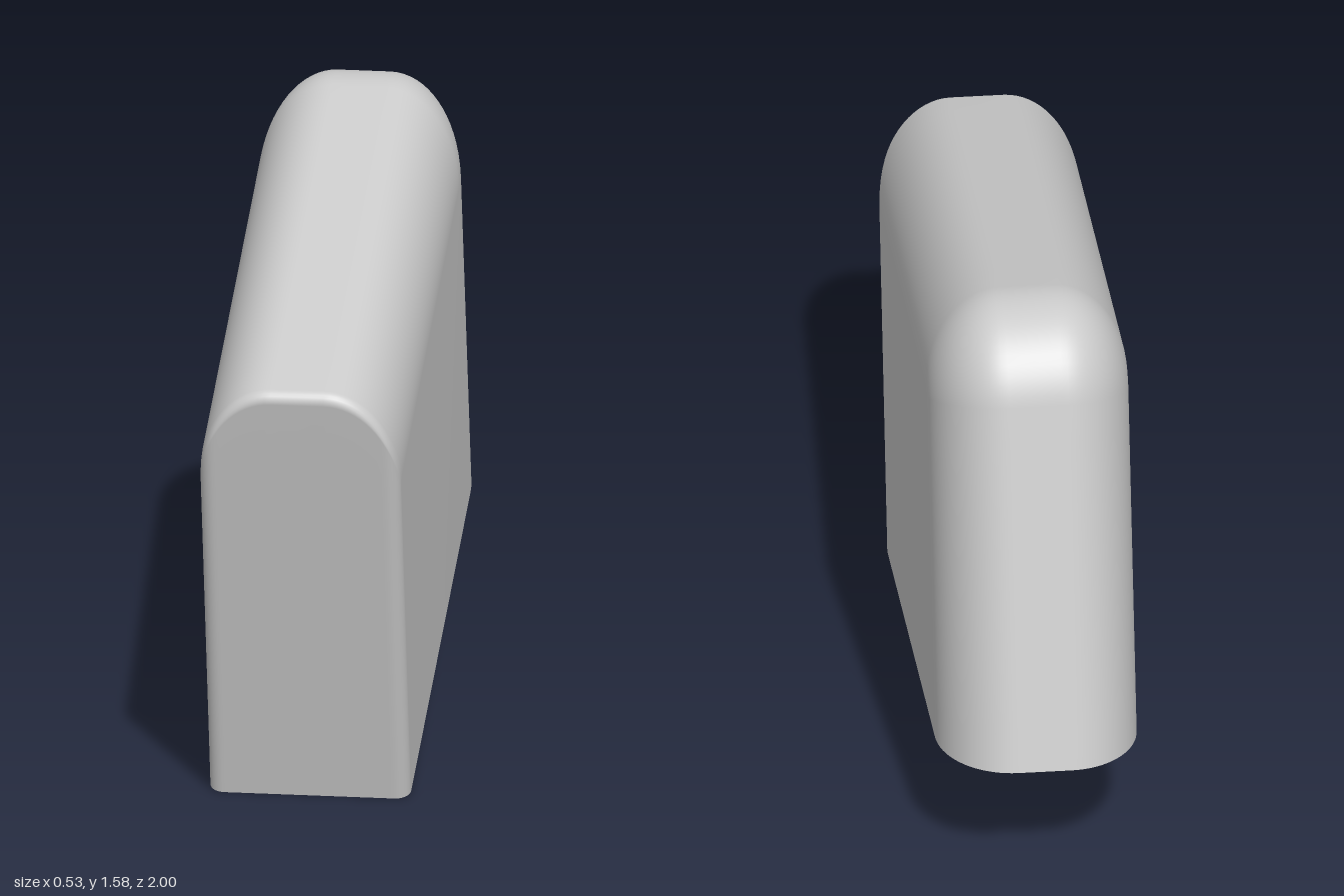
import * as THREE from 'three';

const TILT = 0.2412, HEIGHT = 1.258, FLAT = 0.07, CURVE = 0.196, ROUND = 0.28;

// Side outline at half-width x: up the front, along the top, down the back.
// u runs from front to back, v from the open rim to the top.
function outline(x, inset) {
  const pts = [];
  const line = (u0, v0, u1, v1, n) => {
    for (let i = 0; i < n; i++) pts.push([u0 + (u1 - u0) * i / n, v0 + (v1 - v0) * i / n]);
  };
  const arc = (u, v, r, from, to, n) => {
    for (let i = 0; i < n; i++) {
      const a = from + (to - from) * i / n;
      pts.push([u + r * Math.cos(a), v + r * Math.sin(a)]);
    }
  };
  const edge = Math.min(1, Math.max(0, (x - 0.226) / 0.04));
  const front = 0.04 * (1 - Math.sqrt(1 - edge * edge));
  const top = HEIGHT - inset, back = 1.74 - inset, rim = 1.754 - inset;
  const r = 0.03, R = Math.max(0.05, 0.25 - 0.8 * inset);
  line(front, 0, front, top - r, 10);
  arc(front + r, top - r, r, Math.PI, Math.PI / 2, 6);
  line(front + r, top, back - R, top, 12);
  arc(back - R, top - R, R, Math.PI / 2, 0, 14);
  line(back, top - R, rim, 0, 10);
  pts.push([rim, -0.01 * Math.max(0, (rim - 1.5) / 0.25)]);
  return pts;
}

function shellGeometry() {
  // Half-widths and how far the top and back draw in at each
  const half = [];
  for (let i = 0; i <= 18; i++) {
    const a = i / 18 * Math.PI / 2;
    half.push([FLAT + CURVE * Math.sin(a), ROUND * (1 - Math.cos(a))]);
  }
  const rows = [...half.map(([x, t]) => [-x, t]).reverse(), [0, 0], ...half];

  const pos = [], index = [];
  const c = Math.cos(TILT), s = Math.sin(TILT);
  const add = (x, u, v) => pos.push(x, u * s + v * c, 0.705 - u * c + v * s);
  let n = 0;
  for (const [x, inset] of rows) {
    const loop = outline(Math.abs(x), inset);
    n = loop.length;
    loop.forEach(([u, v]) => add(x, u, v));
  }
  for (let i = 0; i < rows.length - 1; i++) {
    for (let j = 0; j < n - 1; j++) {
      const a = i * n + j, b = a + n;
      index.push(a, b, b + 1, a, b + 1, a + 1);
    }
  }
  // Flat side walls, fanned from the middle of the rim
  const last = (rows.length - 1) * n, mid = rows.length * n;
  add(rows[0][0], 0.8, 0);
  add(-rows[0][0], 0.8, 0);
  for (let j = 0; j < n - 1; j++) {
    index.push(mid, j, j + 1, mid + 1, last + j + 1, last + j);
  }
  const geo = new THREE.BufferGeometry();
  geo.setAttribute('position', new THREE.Float32BufferAttribute(pos, 3));
  geo.setIndex(index);
  geo.computeVertexNormals();
  return geo;
}

export function createModel() {
  const group = new THREE.Group();
  // Thin tilted cover, open underneath
  const shell = new THREE.Mesh(shellGeometry(),
    new THREE.MeshStandardMaterial({ color: 0xcccccc, side: THREE.DoubleSide }));
  shell.name = 'coverShell';
  group.add(shell);
  return group;
}
